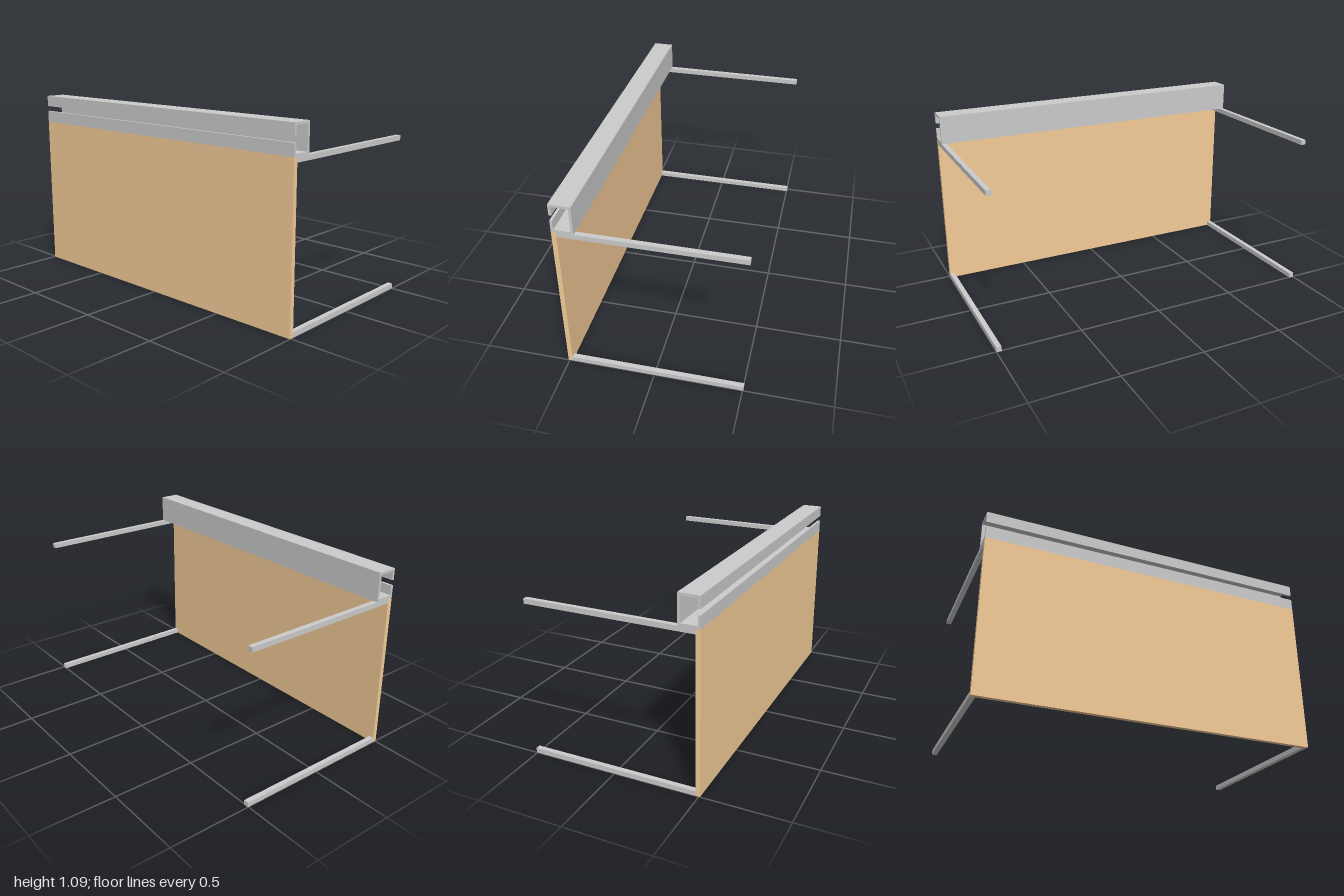
import * as THREE from 'three';

const FRONT = 0.507, BACK = -0.505;
const PANEL_H = 0.926, PANEL_T = 0.026;
const ROD = 0.029;

export function createModel() {
  const group = new THREE.Group();
  const grey = new THREE.MeshStandardMaterial({ color: 0xcccccc });
  const tan = new THREE.MeshStandardMaterial({ color: 0xf4cc98 });

  const add = (name, geometry, material, x = 0, y = 0, z = 0) => {
    const mesh = new THREE.Mesh(geometry, material);
    mesh.name = name;
    mesh.position.set(x, y, z);
    group.add(mesh);
  };

  // Upright front panel
  add('frontPanel', new THREE.BoxGeometry(2, PANEL_H, PANEL_T), tan,
    0, PANEL_H / 2, FRONT - PANEL_T / 2);

  // Slotted channel along the top edge: C profile (z, y) swept along x
  const z0 = 0.386, y0 = PANEL_H, y1 = 1.094, t = 0.0145;
  const slotLow = 0.996, slotHigh = 1.028;
  const profile = [
    [FRONT, slotLow], [FRONT, y0], [z0, y0], [z0, y1], [FRONT, y1], [FRONT, slotHigh],
    [FRONT - t, slotHigh], [FRONT - t, y1 - t], [z0 + t, y1 - t],
    [z0 + t, y0 + t], [FRONT - t, y0 + t], [FRONT - t, slotLow],
  ].map(([z, y]) => new THREE.Vector2(-z, y));
  const channel = new THREE.ExtrudeGeometry(new THREE.Shape(profile), { depth: 2, bevelEnabled: false });
  channel.rotateY(Math.PI / 2).translate(-1, 0, 0);
  add('topChannel', channel, grey);

  // Square rods reaching back from the four panel corners
  const rodFront = FRONT - PANEL_T;
  const rod = new THREE.BoxGeometry(ROD, ROD, rodFront - BACK);
  for (const [side, s] of [['left', 1], ['right', -1]]) {
    for (const [level, y] of [['Lower', ROD / 2], ['Upper', PANEL_H - ROD / 2]]) {
      add(`${side}${level}Rod`, rod, grey, s * (1 - ROD / 2), y, (rodFront + BACK) / 2);
    }
  }
  return group;
}
